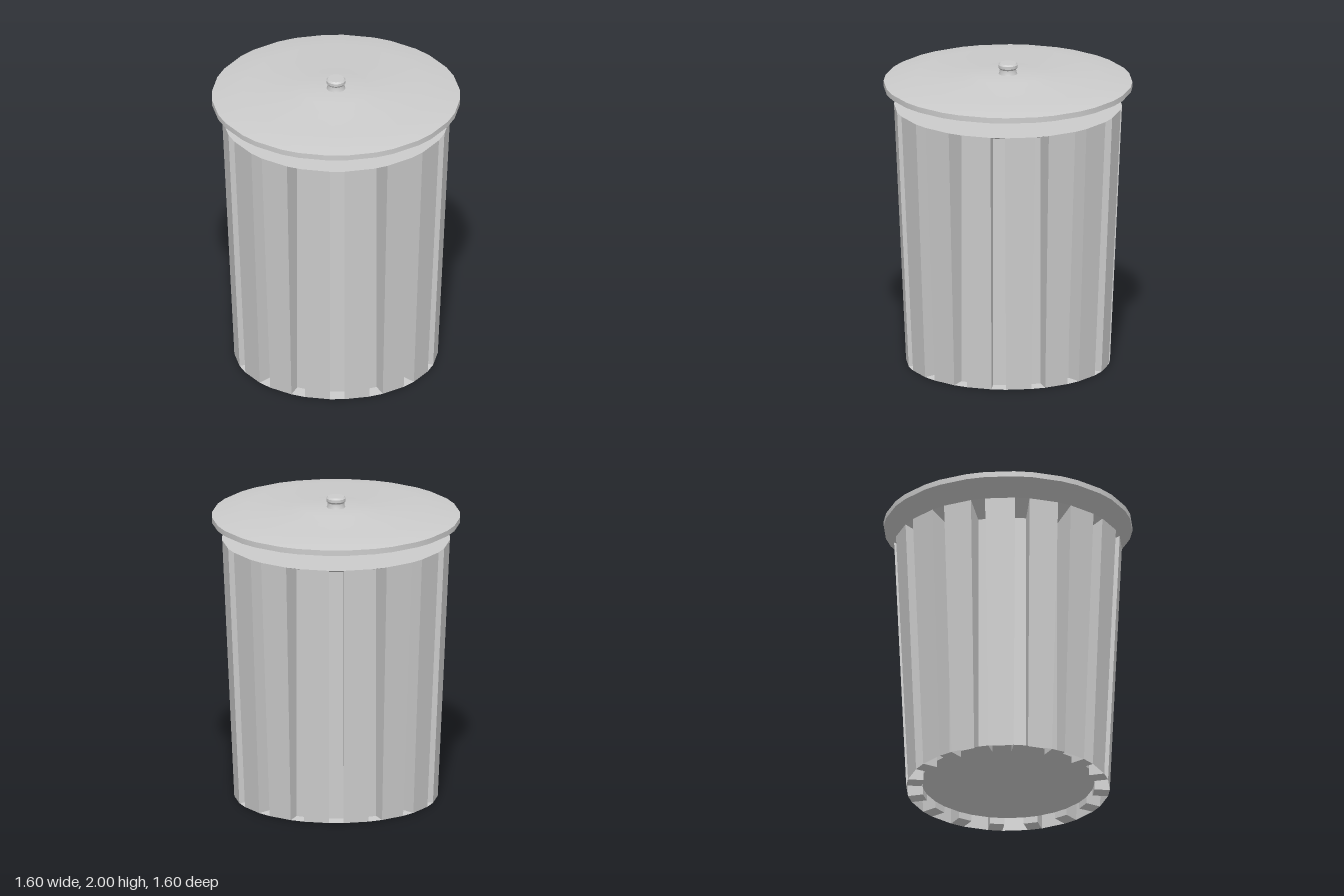
import * as THREE from 'three';
import { toCreasedNormals } from 'three/addons/utils/BufferGeometryUtils.js';

const COUNT = 16;                 // grooves around the can
const STEP = (Math.PI * 2) / COUNT;
const HALF = 0.047;               // half width of a groove
const INNER = 0.555, FOOT = 0.655, RIM = 0.733;
const TOP = 1.72, GROOVE_TOP = 1.66, FLOOR = 0.044;

const grey = new THREE.MeshStandardMaterial({ color: 0xcccccc });
const greyFlat = new THREE.MeshStandardMaterial({
  color: 0xcccccc, flatShading: true, side: THREE.DoubleSide,
});

// Point on groove axis k: r outwards, t sideways, y up
function point(k, r, t, y) {
  const a = k * STEP;
  return [r * Math.sin(a) + t * Math.cos(a), y, r * Math.cos(a) - t * Math.sin(a)];
}

// Collects polygons (as triangle fans) into one flat shaded mesh
function facetMesh(name, build) {
  const positions = [];
  const face = (...p) => {
    for (let i = 1; i < p.length - 1; i++) positions.push(...p[0], ...p[i], ...p[i + 1]);
  };
  for (let k = 0; k < COUNT; k++) build(k, face);
  const geometry = new THREE.BufferGeometry();
  geometry.setAttribute('position', new THREE.Float32BufferAttribute(positions, 3));
  geometry.computeVertexNormals();
  const mesh = new THREE.Mesh(geometry, greyFlat);
  mesh.name = name;
  return mesh;
}

// Revolved profile with smooth normals and sharp creases
function turned(name, profile, segments, start = 0, reshape = null) {
  const geometry = new THREE.LatheGeometry(
    profile.map(([r, y]) => new THREE.Vector2(r, y)), segments, start);
  if (reshape) reshape(geometry.attributes.position);
  const mesh = new THREE.Mesh(toCreasedNormals(geometry, 0.6), grey);
  mesh.name = name;
  return mesh;
}

// Moves each pair of lathe columns towards its groove axis
function pairColumns(position) {
  for (let i = 0; i < position.count; i++) {
    const x = position.getX(i), z = position.getZ(i);
    const r = Math.hypot(x, z);
    if (r < 1e-6) continue;
    const a = Math.atan2(x, z);
    const axis = Math.round(a / STEP) * STEP;
    const b = axis + Math.sign(a - axis) * 0.075;
    position.setXYZ(i, r * Math.sin(b), position.getY(i), r * Math.cos(b));
  }
}

export function createModel() {
  const model = new THREE.Group();
  model.name = 'trashCan';

  const can = new THREE.Group();
  can.name = 'can';
  model.add(can);

  // Recessed grooves: back, sloping head, two side walls and a thin foot shelf
  can.add(facetMesh('grooves', (k, face) => {
    const p = (r, t, y) => point(k, r, t, y);
    const w = HALF;
    face(p(INNER, -w, 0), p(INNER, w, 0), p(INNER, w, GROOVE_TOP), p(INNER, -w, GROOVE_TOP));
    face(p(INNER, -w, GROOVE_TOP), p(INNER, w, GROOVE_TOP), p(RIM, w, TOP), p(RIM, -w, TOP));
    face(p(FOOT, -w, 0), p(INNER, -w, 0), p(INNER, -w, GROOVE_TOP), p(RIM, -w, TOP));
    face(p(INNER, w, 0), p(FOOT, w, 0), p(RIM, w, TOP), p(INNER, w, GROOVE_TOP));
    face(p(FOOT, -w, 0), p(FOOT, w, 0), p(INNER, w, 0), p(INNER, -w, 0));
  }));

  // Broad ribs between the grooves, hollow and open at the foot
  can.add(facetMesh('ribs', (k, face) => {
    const wall = (r0, y0, r1) => face(
      point(k, r0, HALF, y0), point(k + 1, r0, -HALF, y0),
      point(k + 1, r1, -HALF, TOP), point(k, r1, HALF, TOP));
    wall(FOOT, 0, RIM);
    wall(INNER, FLOOR, INNER);
  }));

  // Flat top under the lid
  can.add(facetMesh('canTop', (k, face) => face(
    [0, TOP, 0], point(k, RIM, -HALF, TOP), point(k, RIM, HALF, TOP),
    point(k + 1, RIM, -HALF, TOP))));

  // Raised floor
  can.add(facetMesh('canFloor', (k, face) => face(
    [0, FLOOR, 0], point(k + 1, INNER, -HALF, FLOOR), point(k, INNER, HALF, FLOOR),
    point(k, INNER, -HALF, FLOOR))));

  // Stepped lid hovering above the can
  const lid = new THREE.Group();
  lid.name = 'lid';
  lid.add(turned('lidPlate', [
    [0, 1.84], [0.801, 1.84], [0.801, 1.876], [0.6, 1.91],
    [0.305, 1.912], [0.225, 1.928], [0, 1.93],
  ], COUNT * 2, -STEP / 4, pairColumns));

  // Knob with a narrow neck
  lid.add(turned('lidKnob', [
    [0.062, 1.925], [0.054, 1.945], [0.053, 1.96], [0.062, 1.972],
    [0.062, 1.99], [0.052, 2.0], [0, 2.0],
  ], 24));
  model.add(lid);

  return model;
}
